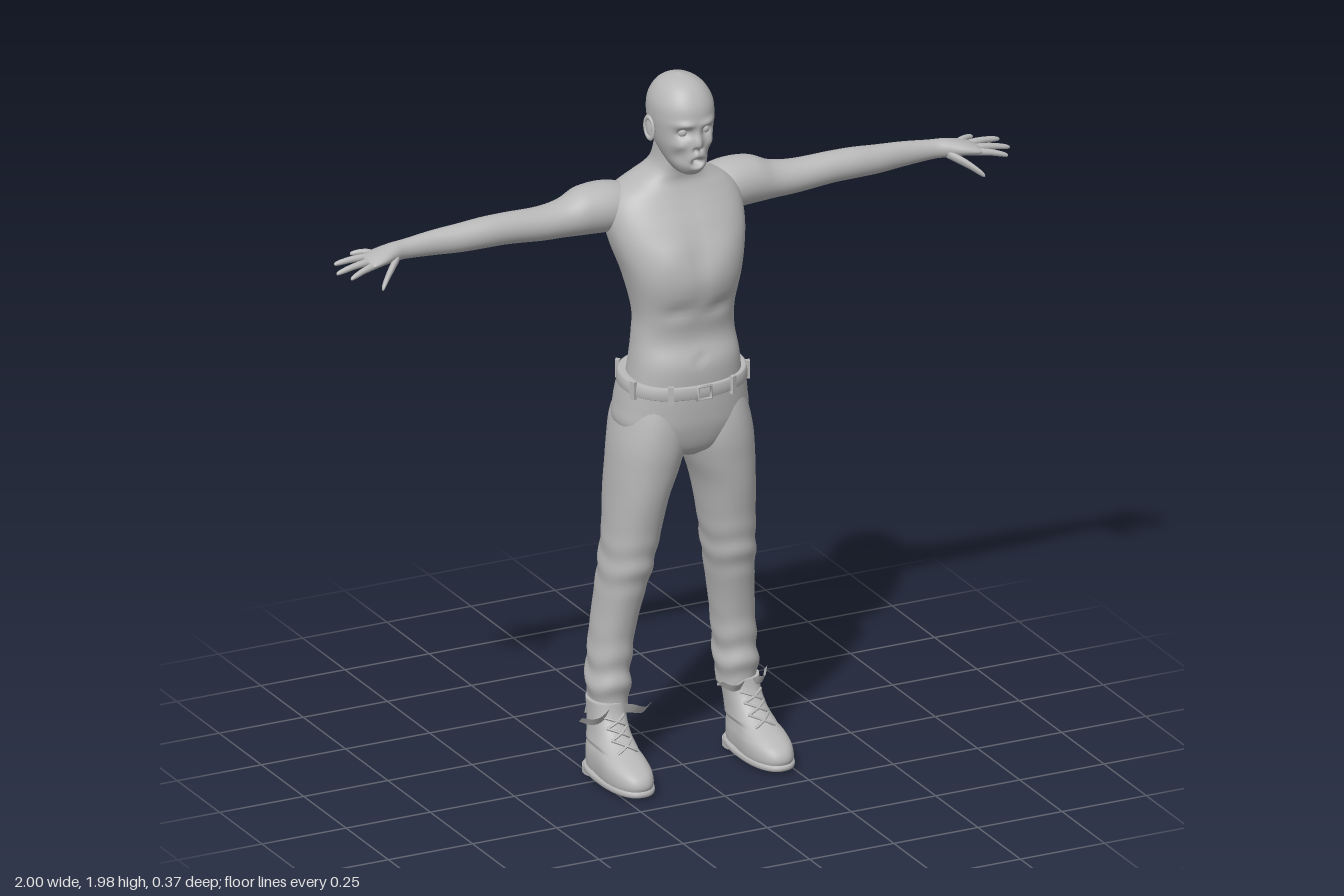
import * as THREE from 'three';

const grey = new THREE.MeshStandardMaterial({ color: 0xb8b8b8 });
grey.name = 'plain grey';
const thinGrey = new THREE.MeshStandardMaterial({ color: 0xb8b8b8, side: THREE.DoubleSide });
thinGrey.name = 'plain grey thin';

// Smooth value between section rows
function blend(rows, t) {
  const n = rows.length - 1, i = Math.min(Math.floor(t), n - 1), f = t - i;
  const [a, b, c, d] = [i - 1, i, i + 1, i + 2].map(k => rows[Math.max(0, Math.min(n, k))]);
  return b.map((_, k) => {
    const m0 = (c[k] - a[k]) / 2, m1 = (d[k] - b[k]) / 2;
    const f2 = f * f, f3 = f2 * f;
    return (2 * f3 - 3 * f2 + 1) * b[k] + (f3 - 2 * f2 + f) * m0 + (3 * f2 - 2 * f3) * c[k] + (f3 - f2) * m1;
  });
}

// Closed skin over blended sections; place(row, cos, sin, v) sets each point
function loft(rows, steps, segs, place, deform, power = 1) {
  const pos = [], idx = [], v = new THREE.Vector3(), count = (rows.length - 1) * steps;
  const sp = s => Math.sign(s) * Math.abs(s) ** power;
  const put = (row, c, s, a) => {
    place(row, c, s, v);
    if (deform) deform(v, a, row);
    pos.push(v.x, v.y, v.z);
  };
  for (let j = 0; j <= count; j++) {
    const row = blend(rows, j / steps);
    for (let i = 0; i < segs; i++) {
      const a = i / segs * Math.PI * 2;
      put(row, sp(Math.cos(a)), sp(Math.sin(a)), a);
      if (j === count) continue;
      const p = j * segs + i, q = j * segs + (i + 1) % segs;
      idx.push(p, p + segs, q, q, p + segs, q + segs);
    }
  }
  // End caps
  const base = pos.length / 3, top = count * segs;
  put(rows[0], 0, 0, 0);
  put(rows[rows.length - 1], 0, 0, 0);
  for (let i = 0; i < segs; i++) {
    const k = (i + 1) % segs;
    idx.push(base, i, k, base + 1, top + k, top + i);
  }
  const g = new THREE.BufferGeometry();
  g.setAttribute('position', new THREE.Float32BufferAttribute(pos, 3));
  g.setIndex(idx);
  g.computeVertexNormals();
  return g;
}

// Upright sections: [y, centre x, half width, front z, back z]
const upright = (r, c, s, v) => v.set(r[1] + r[2] * c, r[0], (r[3] + r[4]) / 2 + (r[3] - r[4]) / 2 * s);
// Sideways sections: [x, centre y, half height, centre z, half depth]
const sideways = (r, c, s, v) => v.set(r[0], r[1] + r[2] * s, r[3] + r[4] * c);
const bump = (x, y, cx, cy, w, h = w) => Math.exp(-(((x - cx) / w) ** 2) - ((y - cy) / h) ** 2);

function mirrored(geometry) {
  const g = geometry.clone().scale(-1, 1, 1), ix = g.index.array;
  for (let i = 0; i < ix.length; i += 3) [ix[i], ix[i + 1]] = [ix[i + 1], ix[i]];
  g.computeVertexNormals();
  return g;
}

export function createModel() {
  const model = new THREE.Group();
  model.name = 'standingMan';
  const add = (name, geometry, material = grey) => {
    const m = new THREE.Mesh(geometry, material);
    m.name = name;
    model.add(m);
    return m;
  };
  const pair = (name, g, material) => {
    add('left' + name, g, material);
    add('right' + name, mirrored(g), material);
  };

  // Torso and neck, with spine groove, chest and navel
  add('torso', loft([
    [1.09, 0, .163, .112, -.118], [1.18, 0, .152, .115, -.105], [1.25, 0, .143, .093, -.096],
    [1.32, 0, .141, .102, -.102], [1.42, 0, .162, .122, -.138], [1.5, 0, .185, .1, -.168],
    [1.56, 0, .194, .072, -.182], [1.61, 0, .188, .042, -.182], [1.645, 0, .162, .022, -.17],
    [1.675, 0, .112, .01, -.153], [1.7, 0, .075, .012, -.135], [1.73, 0, .058, .02, -.118],
    [1.79, 0, .052, .03, -.1],
  ], 6, 64, upright, (v, a) => {
    const x = Math.abs(v.x);
    if (Math.sin(a) < 0) {
      v.z += .028 * bump(v.x, v.y, 0, 1.52, .028, .15) + .01 * bump(v.x, v.y, 0, 1.25, .03, .12);
      v.z -= .01 * bump(x, v.y, .1, 1.56, .05, .06);
    } else if (Math.sin(a) > 0) {
      v.z += .008 * bump(x, v.y, .08, 1.49, .05, .045) - .005 * bump(v.x, v.y, 0, 1.48, .02, .12);
      v.z -= .007 * bump(v.x, v.y, 0, 1.2, .012) + .008 * bump(x, v.y, .06, 1.34, .04, .02);
    }
  }, .85));

  // Head with brow, sockets, sunken nose, cheeks and open mouth
  add('head', loft([
    [1.712, 0, .022, .06, -.01], [1.72, 0, .034, .073, -.03], [1.74, 0, .048, .086, -.055],
    [1.765, 0, .06, .092, -.082], [1.795, 0, .071, .092, -.104], [1.83, 0, .079, .091, -.117],
    [1.87, 0, .084, .092, -.123], [1.91, 0, .081, .085, -.116], [1.945, 0, .063, .062, -.095],
    [1.965, 0, .037, .032, -.066], [1.976, 0, .004, -.016, -.024],
  ], 10, 96, upright, (v, a) => {
    if (Math.sin(a) <= 0) return;
    const x = Math.abs(v.x);
    v.z += .008 * bump(x, v.y, .035, 1.865, .025, .01) + .007 * bump(x, v.y, .047, 1.805, .016, .014);
    v.z -= .02 * bump(x, v.y, .033, 1.84, .017, .013) + .01 * bump(x, v.y, .045, 1.77, .015, .02);
    v.z += .014 * bump(v.x, v.y, 0, 1.812, .012, .026) - .012 * bump(x, v.y, .007, 1.793, .006, .008);
    v.z += .011 * bump(v.x, v.y, 0, 1.752, .032, .026) - .034 * bump(v.x, v.y, 0, 1.756, .015, .011);
  }, .93));
  pair('Eye', new THREE.SphereGeometry(.014, 20, 14).translate(.033, 1.84, .062));

  // Ears
  const place = new THREE.Matrix4().makeRotationFromEuler(new THREE.Euler(-.2, -.25, 0)).setPosition(.085, 1.832, -.022);
  pair('Ear', new THREE.SphereGeometry(1, 18, 14).scale(.007, .03, .017).applyMatrix4(place));
  pair('EarRim', new THREE.TorusGeometry(.019, .005, 8, 24).rotateY(Math.PI / 2)
    .scale(1, 1.5, .9).translate(.004, 0, 0).applyMatrix4(place));

  // Arms and hands
  pair('Arm', loft([
    [.08, 1.59, .05, -.1, .06], [.17, 1.597, .068, -.1, .074], [.25, 1.597, .066, -.1, .068],
    [.31, 1.587, .052, -.097, .056], [.38, 1.585, .046, -.092, .049], [.48, 1.592, .043, -.087, .043],
    [.55, 1.593, .042, -.085, .041], [.62, 1.59, .039, -.087, .037], [.7, 1.589, .034, -.09, .029],
    [.78, 1.588, .027, -.087, .025], [.82, 1.588, .025, -.081, .031], [.86, 1.585, .02, -.074, .042],
    [.895, 1.58, .014, -.07, .045], [.908, 1.578, .008, -.07, .04],
  ], 5, 32, sideways));

  // Fingers: knuckle and tip [x, y, z], radius
  const digits = {
    LittleFinger: [[.86, 1.583, -.104], [.925, 1.585, -.126], .009],
    RingFinger: [[.87, 1.582, -.087], [.988, 1.578, -.094], .01],
    MiddleFinger: [[.87, 1.58, -.066], [1, 1.566, -.056], .01],
    IndexFinger: [[.87, 1.578, -.046], [.976, 1.56, -.019], .01],
    Thumb: [[.815, 1.578, -.062], [.895, 1.525, .006], .013],
  };
  for (const [name, [k, t, r]] of Object.entries(digits)) {
    const rows = [[0, .9], [.3, 1], [.6, .9], [.85, .75], [.97, .5], [1, .12]].map(([f, s]) => {
      const [x, y, z] = k.map((e, i) => e + (t[i] - e) * f);
      return [x, y + Math.sin(f * Math.PI) * .005, r * s, z, r * s];
    });
    pair(name, loft(rows, 3, 14, sideways));
  }

  // Trousers: seat and two creased legs
  const tilt = (v) => { v.y -= .1 * v.z * THREE.MathUtils.smoothstep(v.y, 1.02, 1.1); };
  add('trouserSeat', loft([
    [.91, 0, .04, .06, -.08], [.94, 0, .13, .092, -.122], [1, 0, .185, .112, -.146],
    [1.06, 0, .184, .118, -.149], [1.135, 0, .172, .12, -.13],
  ], 6, 56, upright, (v, a) => {
    if (Math.sin(a) < 0) v.z += .022 * bump(v.x, v.y, 0, .97, .025, .07);
    tilt(v);
  }, .88));
  pair('TrouserLeg', loft([
    [.185, .19, .05, -.008, -.115], [.24, .19, .056, .002, -.13], [.3, .187, .056, .001, -.135],
    [.4, .178, .057, .008, -.135], [.5, .165, .06, .03, -.134], [.6, .152, .067, .055, -.125],
    [.7, .14, .073, .071, -.122], [.8, .128, .08, .09, -.135], [.88, .112, .092, .101, -.137],
    [.95, .1, .098, .108, -.142], [1.02, .093, .091, .105, -.146], [1.1, .085, .075, .09, -.11],
  ], 8, 40, upright, (v, a, r) => {
    const mask = bump(0, v.y, 0, .26, 1, .1) + .6 * bump(0, v.y, 0, .6, 1, .07);
    const k = 1 + .06 * mask * Math.sin(75 * v.y + 2 * Math.sin(a) + 1.5 * Math.cos(2 * a));
    const mid = (r[3] + r[4]) / 2;
    v.x = r[1] + (v.x - r[1]) * k;
    v.z = mid + (v.z - mid) * k;
  }, .92));

  // Belt, loops and buckle
  add('belt', loft([
    [1.107, 0, .172, .119, -.13], [1.109, 0, .179, .126, -.137],
    [1.139, 0, .177, .126, -.136], [1.141, 0, .168, .118, -.128],
  ], 2, 56, upright, tilt, .88));
  for (const deg of [20, 62, 118, 160, 215, 270, 325]) {
    const a = deg * Math.PI / 180, sp = s => Math.sign(s) * Math.abs(s) ** .88;
    const z = -.005 + .132 * sp(Math.sin(a));
    const loop = add('beltLoop', new THREE.BoxGeometry(.016, .05, .012));
    loop.position.set(.179 * sp(Math.cos(a)), 1.124 - .1 * z, z);
    loop.rotation.y = Math.PI / 2 - a;
  }
  const buckle = add('buckle', new THREE.TorusGeometry(.026, .005, 6, 4, Math.PI * 2).rotateZ(Math.PI / 4).scale(1.1, .95, 1));
  buckle.position.set(0, 1.112, .13);

  // Boots, soles and heels
  pair('Boot', loft([
    [.012, .208, .06, .176, -.108], [.035, .208, .064, .186, -.112], [.06, .208, .064, .174, -.112],
    [.08, .208, .06, .14, -.11], [.1, .206, .054, .09, -.108], [.13, .203, .049, .042, -.11],
    [.17, .2, .048, .008, -.115], [.21, .197, .051, -.004, -.12],
  ], 5, 40, upright, (v, a, r) => {
    // Narrow waist of the foot
    if (v.y < .1) v.x = r[1] + (v.x - r[1]) * (1 - .12 * bump(v.z, 0, .0, 0, .05, 1) - .1 * bump(v.z, 0, -.1, 0, .05, 1));
  }, .85));
  pair('Sole', loft([
    [.008, .208, .062, .182, -.112], [.012, .208, .066, .189, -.115],
    [.022, .208, .066, .189, -.115], [.026, .208, .062, .183, -.112],
  ], 2, 40, upright, null, .85));
  pair('Heel', new THREE.CylinderGeometry(.056, .056, .02, 24).translate(.208, .01, -.058));

  // Crossed laces up the instep
  const steps = [[.1, .093], [.125, .055], [.15, .028], [.175, .01]];
  for (let i = 0; i < steps.length - 1; i++) {
    const [y0, z0] = steps[i], [y1, z1] = steps[i + 1];
    for (const s of [-1, 1]) {
      const curve = new THREE.QuadraticBezierCurve3(
        new THREE.Vector3(.204 - s * .029, y0, z0 - .012),
        new THREE.Vector3(.204, (y0 + y1) / 2 + .008, (z0 + z1) / 2 + .014),
        new THREE.Vector3(.204 + s * .029, y1, z1 - .012));
      pair('Lace', new THREE.TubeGeometry(curve, 8, .004, 6));
    }
  }

  // Loose cuff flaps, wide on the right boot, short and upright on the left
  const flap = (name, x, y, z, length, drop, height) => {
    const g = new THREE.PlaneGeometry(1, 1, 10, 3), p = g.attributes.position;
    for (let i = 0; i < p.count; i++) {
      const u = p.getX(i) + .5, w = p.getY(i);
      p.setXYZ(i, x + length * u, y + drop * u + w * height * (1 - .5 * u) + .004 * Math.sin(u * 7),
        z + .02 * Math.sin(u * 4) + w * .018);
    }
    g.computeVertexNormals();
    add(name, g, thinGrey);
  };
  flap('rightOuterFlap', -.215, .18, -.012, -.075, -.012, .034);
  flap('rightInnerFlap', -.175, .188, -.012, .095, -.01, .034);
  flap('rightBackFlap', -.225, .165, -.125, .05, -.01, .05);
  flap('leftOuterFlap', .21, .192, -.01, .05, .028, .034);
  flap('leftInnerFlap', .185, .19, -.01, -.06, .008, .032);
  flap('leftBackFlap', .17, .17, -.128, .05, -.02, .05);

  return model;
}
